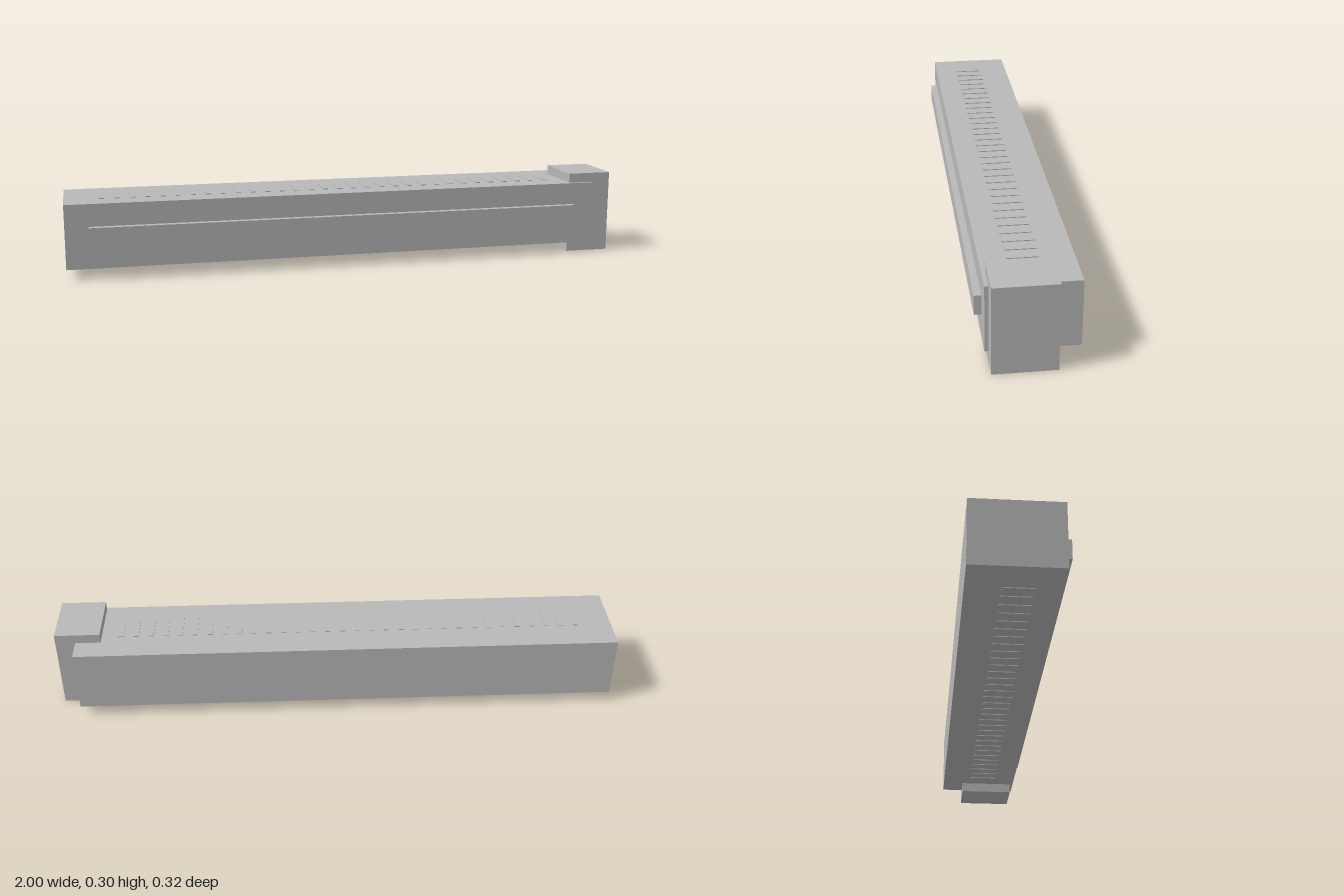
import * as THREE from 'three';

export function createModel() {
  const model = new THREE.Group();
  const grey = new THREE.MeshStandardMaterial({ color: 0xb8b8b8 });
  grey.name = 'light grey';

  // Adds a box given by its lower and upper limits on each axis
  function addBox(name, [x0, x1], [y0, y1], [z0, z1], parent = model) {
    const mesh = new THREE.Mesh(new THREE.BoxGeometry(x1 - x0, y1 - y0, z1 - z0), grey);
    mesh.position.set((x0 + x1) / 2, (y0 + y1) / 2, (z0 + z1) / 2);
    mesh.name = name;
    parent.add(mesh);
  }

  // Long housing, front strip and end bracket
  addBox('housing', [-1, 0.93], [0.036, 0.262], [-0.16, 0.137]);
  addBox('frontStrip', [-0.92, 0.85], [0.116, 0.183], [0.13, 0.16]);
  addBox('endBracket', [0.84, 1], [0, 0.296], [-0.079, 0.125]);

  // Rows of thin ribs along the top and underside
  const ribs = new THREE.Group();
  ribs.name = 'ribs';
  model.add(ribs);
  const count = 32;
  for (let i = 0; i < count; i++) {
    const x = -0.87 + (1.64 * i) / (count - 1);
    const across = [x - 0.009, x + 0.009];
    addBox('topRib', across, [0.26, 0.265], [-0.05, 0.053], ribs);
    addBox('bottomRib', across, [0.033, 0.038], [-0.05, 0.053], ribs);
  }
  return model;
}
